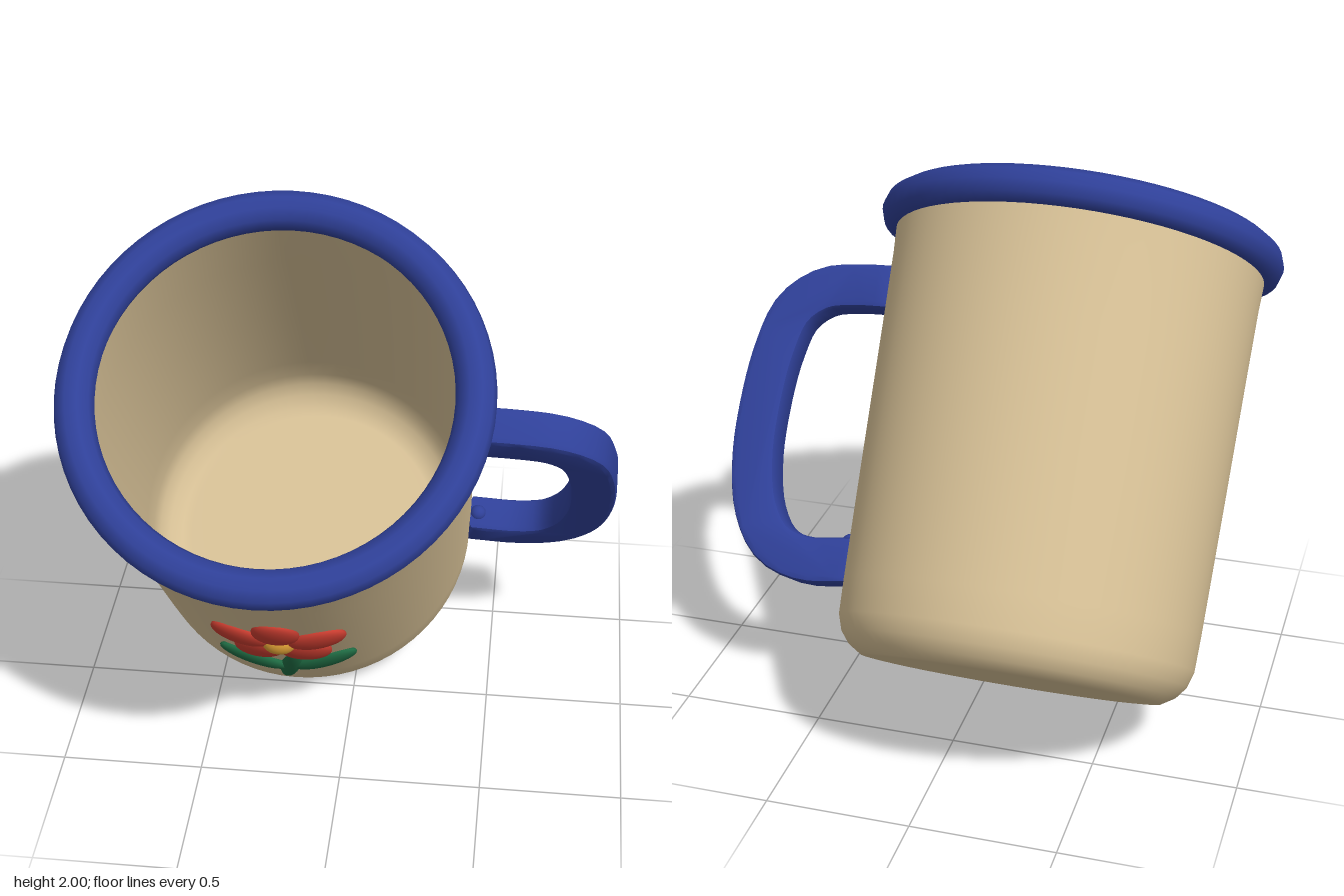
import * as THREE from 'three';
import { toCreasedNormals } from 'three/addons/utils/BufferGeometryUtils.js';

const material = (name, color, side = THREE.FrontSide) => {
  const m = new THREE.MeshStandardMaterial({ color, side });
  m.name = name;
  return m;
};

export function createModel() {
  const enamel = material('cream enamel', 0xd4be94, THREE.DoubleSide);
  const blue = material('blue trim', 0x2f4098);
  const red = material('petal red', 0xc83c2f);
  const green = material('leaf green', 0x1f6b43);
  const yellow = material('flower yellow', 0xe0a136);

  // Mug space: origin at the centre of the rim, y along the mug's axis
  const mug = new THREE.Group();
  mug.name = 'tiltedMug';
  const add = (name, geometry, mat, parent = mug) => {
    const mesh = new THREE.Mesh(geometry, mat);
    mesh.name = name;
    parent.add(mesh);
    return mesh;
  };

  // Thin-walled cup with a rounded foot and a slight flare
  const profile = [
    [0, -1.546], [0.3, -1.546], [0.48, -1.546], [0.515, -1.543], [0.56, -1.515],
    [0.592, -1.475], [0.61, -1.42], [0.615, -1.3], [0.627, -0.85], [0.638, -0.4],
    [0.645, -0.15], [0.654, 0],
  ].map(([r, y]) => new THREE.Vector2(r, y));
  add('cup', new THREE.LatheGeometry(profile, 72), enamel);

  // Rolled rim
  const rim = add('rim', new THREE.TorusGeometry(0.644, 0.066, 10, 72), blue);
  rim.rotation.x = Math.PI / 2;

  // Handle: a band of even thickness around a curve, extruded with soft edges
  const curve = new THREE.CatmullRomCurve3([
    [0.655, -0.246], [0.765, -0.252], [0.895, -0.278], [0.992, -0.363], [1.035, -0.513],
    [1.05, -0.726], [1.04, -0.914], [0.995, -1.089], [0.915, -1.2], [0.795, -1.243],
    [0.63, -1.228],
  ].map(([x, y]) => new THREE.Vector3(x, y, 0)));
  const bevel = 0.02;
  const outer = [], inner = [];
  for (let i = 0; i <= 36; i++) {
    const p = curve.getPointAt(i / 36), t = curve.getTangentAt(i / 36);
    const h = 0.08 - bevel;
    outer.push(new THREE.Vector2(p.x - t.y * h, p.y + t.x * h));
    inner.push(new THREE.Vector2(p.x + t.y * h, p.y - t.x * h));
  }
  const depth = 0.13 - 2 * bevel;
  const handle = new THREE.ExtrudeGeometry(new THREE.Shape([...outer, ...inner.reverse()]), {
    depth, bevelEnabled: true, bevelSize: bevel, bevelThickness: bevel, bevelSegments: 2,
  });
  handle.translate(0, 0, -depth / 2);
  add('handle', toCreasedNormals(handle, 0.6), blue);

  // Small bead where the handle's lower end meets the cup
  const bead = add('handleBead', new THREE.SphereGeometry(0.03, 16, 12), blue);
  bead.position.set(0.645, -1.16, 0);

  // Flattened ellipsoids set into the front wall, each turned to follow it
  const flower = new THREE.Group();
  flower.name = 'flower';
  mug.add(flower);
  const ball = new THREE.SphereGeometry(1, 24, 16);
  const setInWall = (name, mat, x, y, halfX, halfY, thick, turn = 0) => {
    const r = 0.612 + (y + 1.42) * 0.026;
    const a = Math.asin(x / r);
    const mesh = add(name, ball, mat, flower);
    mesh.position.set(x, y, r * Math.cos(a));
    mesh.rotation.set(0, a, turn);
    mesh.scale.set(halfX, halfY, thick);
  };

  for (let i = 0; i < 5; i++) {
    const a = (i * Math.PI * 2) / 5;
    setInWall('petal', red, 0.14 * Math.sin(a), -0.77 + 0.14 * Math.cos(a), 0.083, 0.106, 0.032, -a);
  }
  setInWall('flowerCentre', yellow, 0, -0.77, 0.06, 0.06, 0.042);
  setInWall('stem', green, 0.008, -1.135, 0.036, 0.185, 0.028, -0.17);
  setInWall('leftLeaf', green, 0.135, -1.075, 0.132, 0.056, 0.028, 0.48);
  setInWall('rightLeaf', green, -0.125, -1.095, 0.132, 0.056, 0.028, -0.36);

  // Tip the whole mug forward
  mug.rotation.x = THREE.MathUtils.degToRad(37);
  mug.position.set(-0.215, 1.547, 0.395);
  const model = new THREE.Group();
  model.name = 'enamelMug';
  model.add(mug);
  return model;
}
